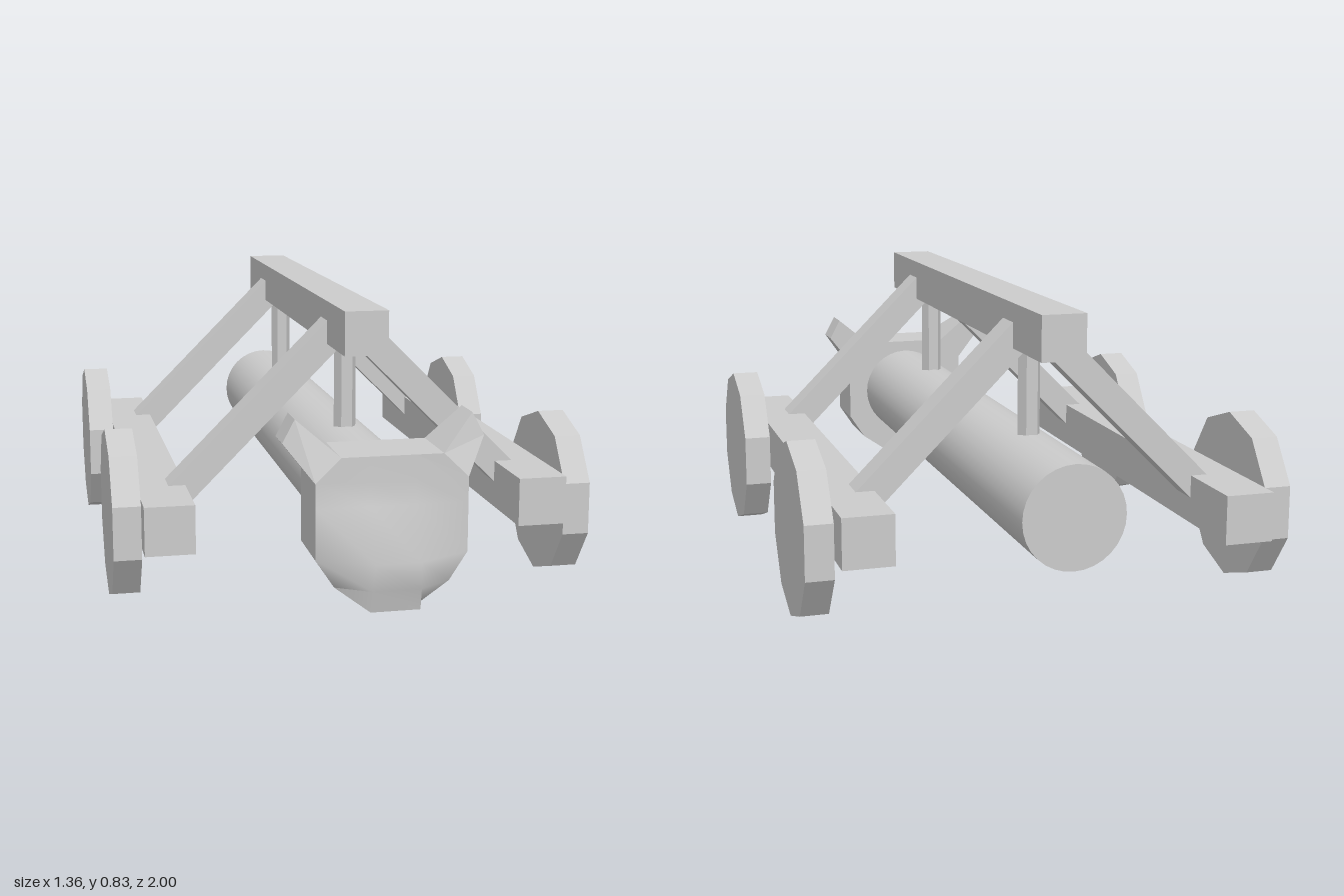
import * as THREE from 'three';
import { toCreasedNormals } from 'three/addons/utils/BufferGeometryUtils.js';

const flat = new THREE.MeshStandardMaterial({ color: 0xcccccc, flatShading: true });
const smooth = new THREE.MeshStandardMaterial({ color: 0xcccccc });
const CX = 0.0125;               // centre line of the ram
const AXLES = [0.38, -0.632];    // z of the struts and ropes
const WHEELS = [0.385, -0.615];

function add(parent, name, geometry, material, x = 0, y = 0, z = 0) {
  const mesh = new THREE.Mesh(geometry, material);
  mesh.name = name;
  mesh.position.set(x, y, z);
  parent.add(mesh);
  return mesh;
}

function extrude(points, depth) {
  const shape = new THREE.Shape(points.map(([x, y]) => new THREE.Vector2(x, y)));
  return new THREE.ExtrudeGeometry(shape, { depth, bevelEnabled: false });
}

// Square timber running between two points of an x-y plane
function addStrut(parent, name, x0, y0, x1, y1, z) {
  const length = Math.hypot(x1 - x0, y1 - y0);
  const strut = add(parent, name, new THREE.BoxGeometry(length, 0.08, 0.086), flat,
    (x0 + x1) / 2, (y0 + y1) / 2, z);
  strut.rotation.z = Math.atan2(y1 - y0, x1 - x0);
}

// Bulging face of the head: rows of [y, half width, edge z, inner half width, inner z]
function faceGeometry() {
  const rows = [
    [0.5, 0.135, 0.93, 0.06, 0.93],
    [0.435, 0.202, 0.93, 0.06, 0.932],
    [0.37, 0.202, 0.93, 0.06, 0.936],
    [0.235, 0.202, 0.93, 0.06, 1.0],
    [0.16, 0.153, 0.93, 0.065, 0.985],
    [0.1, 0.066, 0.93, 0.066, 0.97],
    [0.1, 0.066, 0.93, 0.066, 0.93],
  ];
  const positions = [], index = [];
  rows.forEach(([y, w, z, wi, zi], r) => {
    positions.push(-w, y, z, -wi, y, zi, wi, y, zi, w, y, z);
    if (r === 0) return;
    for (let c = 0; c < 3; c++) {
      const a = (r - 1) * 4 + c, b = a + 4;
      index.push(a, b, b + 1, a, b + 1, a + 1);
    }
  });
  const geometry = new THREE.BufferGeometry();
  geometry.setAttribute('position', new THREE.Float32BufferAttribute(positions, 3));
  geometry.setIndex(index);
  return toCreasedNormals(geometry, 1.0);
}

function createHead() {
  const head = new THREE.Group();
  head.name = 'ramHead';
  head.position.x = CX + 0.001;

  // Shield-shaped block
  const half = [[0.066, 0.1], [0.153, 0.16], [0.202, 0.235], [0.202, 0.435], [0.135, 0.5]];
  const outline = [...half, ...half.map(([x, y]) => [-x, y]).reverse()];
  add(head, 'headBlock', extrude(outline, 0.185), flat, 0, 0, 0.745);
  add(head, 'headFace', faceGeometry(), smooth);

  // Horns, their front slanting back toward the tips
  for (const s of [1, -1]) {
    const horn = extrude([[0.135, 0.5], [0.202, 0.435], [0.27, 0.523], [0.237, 0.585]]
      .map(([x, y]) => [s * x, y]), 0.185);
    const p = horn.attributes.position;
    for (let i = 0; i < p.count; i++) {
      if (p.getY(i) > 0.51 && p.getZ(i) > 0.1) p.setZ(i, 0.094);
    }
    horn.computeVertexNormals();
    add(head, s > 0 ? 'leftHorn' : 'rightHorn', horn, flat, 0, 0, 0.745);
  }
  return head;
}

export function createModel() {
  const model = new THREE.Group();
  model.name = 'batteringRam';

  // Ram log and head
  const log = new THREE.CylinderGeometry(0.141, 0.141, 1.76, 32).rotateX(Math.PI / 2);
  add(model, 'ramLog', log, smooth, CX, 0.325, -0.12);
  model.add(createHead());

  // Ridge beam and side rails
  add(model, 'ridgeBeam', new THREE.BoxGeometry(0.122, 0.122, 1.55), flat, CX, 0.771, -0.13);
  const rail = new THREE.BoxGeometry(0.138, 0.137, 1.55);
  add(model, 'leftRail', rail, flat, 0.525, 0.278, -0.13);
  add(model, 'rightRail', rail, flat, -0.527, 0.252, -0.13);

  // Sloping struts and the hangers holding the log
  const hanger = new THREE.CylinderGeometry(0.032, 0.032, 0.33, 6, 1, false, Math.PI / 6);
  for (const z of AXLES) {
    addStrut(model, 'leftStrut', 0.04, 0.757, 0.49, 0.307, z);
    addStrut(model, 'rightStrut', -0.012, 0.757, -0.49, 0.28, z);
    add(model, 'hanger', hanger, flat, CX, 0.565, z);
  }

  // Ten-sided wheels
  const wheel = new THREE.CylinderGeometry(0.241, 0.241, 0.077, 10, 1, false, Math.PI / 10)
    .rotateZ(Math.PI / 2);
  for (const z of WHEELS) {
    for (const s of [1, -1]) {
      add(model, s > 0 ? 'leftWheel' : 'rightWheel', wheel, flat, s * 0.639, 0.242, z);
    }
  }
  return model;
}
